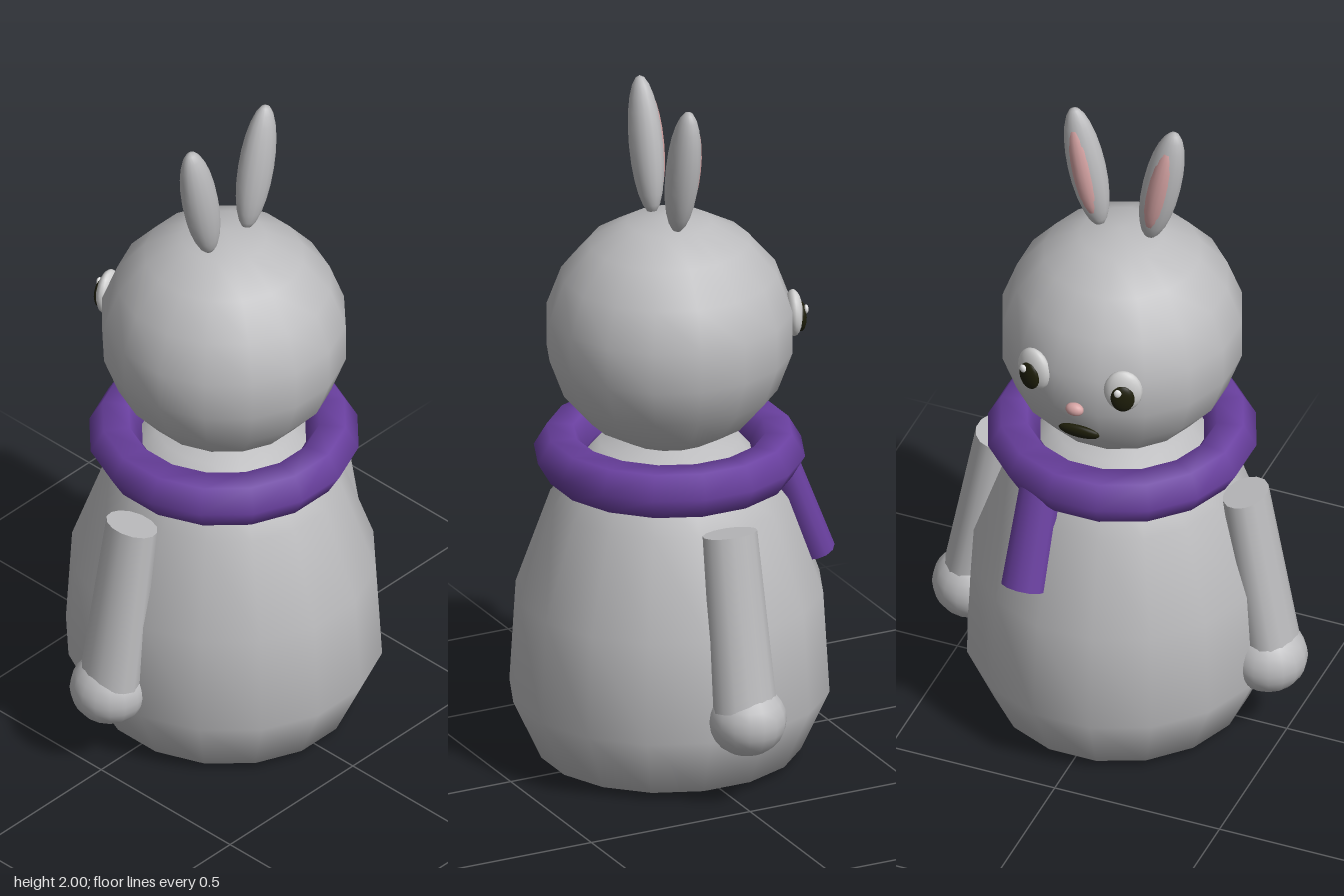
import * as THREE from 'three';

const mat = (name, color) => {
  const m = new THREE.MeshStandardMaterial({ color });
  m.name = name;
  return m;
};

export function createModel() {
  const fur = mat('grey fur', 0xbcbcbe);
  const purple = mat('purple wool', 0x6a40a0);
  const pink = mat('pink', 0xd6a4a4);
  const dark = mat('near black', 0x1e1e0a);
  const eyeWhite = mat('eye white', 0xcfcfcf);
  const shine = mat('eye shine', 0xffffff);
  const sole = mat('dark grey sole', 0x5a5a5a);

  const model = new THREE.Group();
  model.name = 'rabbit';

  const add = (name, geometry, material, parent = model) => {
    const mesh = new THREE.Mesh(geometry, material);
    mesh.name = name;
    parent.add(mesh);
    return mesh;
  };

  // Ellipsoid from centre and half sizes
  const ball = (name, material, [x, y, z], [rx, ry, rz], parent = model, w = 16, h = 12) => {
    const mesh = add(name, new THREE.SphereGeometry(1, w, h), material, parent);
    mesh.position.set(x, y, z);
    mesh.scale.set(rx, ry, rz);
    return mesh;
  };

  // Oval, tapered cylinder between two points
  const limb = (name, material, from, to, r0, r1, depthRatio, sides) => {
    const a = new THREE.Vector3(...from), b = new THREE.Vector3(...to);
    const axis = a.clone().sub(b);
    const geometry = new THREE.CylinderGeometry(r0, r1, axis.length(), sides);
    geometry.scale(1, 1, depthRatio);
    const mesh = add(name, geometry, material);
    mesh.position.copy(a).add(b).multiplyScalar(0.5);
    mesh.quaternion.setFromUnitVectors(new THREE.Vector3(0, 1, 0), axis.normalize());
    return mesh;
  };

  // Pear-shaped body
  const profile = [[0, 0.02], [0.2, 0.02], [0.375, 0.022], [0.457, 0.2], [0.439, 0.5],
    [0.34, 0.78], [0.27, 0.87], [0.2, 0.95], [0, 1]].map(p => new THREE.Vector2(...p));
  const body = add('body', new THREE.LatheGeometry(profile, 16, Math.PI / 16), fur);
  body.scale.x = 0.965;

  // Head
  const head = ball('head', fur, [0, 1.285, 0], [0.347, 0.347, 0.356], model, 16, 9);
  head.geometry.rotateY(Math.PI / 16);

  // Scarf ring and hanging end
  const ring = new THREE.TorusGeometry(0.309, 0.075, 6, 16);
  ring.rotateX(Math.PI / 2);
  ring.rotateY(Math.PI / 16);
  add('scarf', ring, purple).position.y = 0.915;
  limb('scarfEnd', purple, [0.13, 0.93, -0.265], [0.14, 0.595, -0.39], 0.06, 0.066, 0.8, 12);

  for (const s of [1, -1]) {
    const side = s > 0 ? 'left' : 'right';

    // Arm and hand
    limb(side + 'Arm', fur, [s * 0.375, 0.8, 0], [s * 0.46, 0.3, -0.005], 0.063, 0.073, 1.28, 14);
    ball(side + 'Hand', fur, [s * 0.45, 0.26, -0.016], [0.112, 0.104, 0.112]);

    // Foot
    ball(side + 'Foot', sole, [s * 0.17, 0.05, -0.09], [0.11, 0.05, 0.14]);

    // Ear with pink inside
    const ear = new THREE.Group();
    ear.name = side + 'Ear';
    ear.position.set(s * 0.114, 1.805, 0.016);
    ear.rotation.z = -s * 0.2;
    ball('outerEar', fur, [0, 0, 0], [0.055, 0.2, 0.047], ear);
    ball('innerEar', pink, [0, 0, -0.015], [0.037, 0.16, 0.038], ear);
    model.add(ear);

    // Eye, turned to follow the head
    const eye = new THREE.Group();
    eye.name = side + 'Eye';
    eye.position.set(s * 0.135, 1.322, -0.322);
    eye.rotation.y = -s * 0.3;
    ball('eyeball', eyeWhite, [0, 0, 0], [0.055, 0.068, 0.026], eye);
    ball('pupil', dark, [0, -0.012, -0.021], [0.034, 0.044, 0.016], eye);
    ball('shine', shine, [0.013, 0.014, -0.034], [0.011, 0.013, 0.007], eye, 10, 8);
    model.add(eye);
  }

  // Nose and mouth
  ball('nose', pink, [-0.003, 1.245, -0.36], [0.027, 0.02, 0.018]);
  const mouth = ball('mouth', dark, [0, 1.138, -0.32], [0.062, 0.025, 0.015]);
  mouth.rotation.x = -0.4;

  return model;
}
